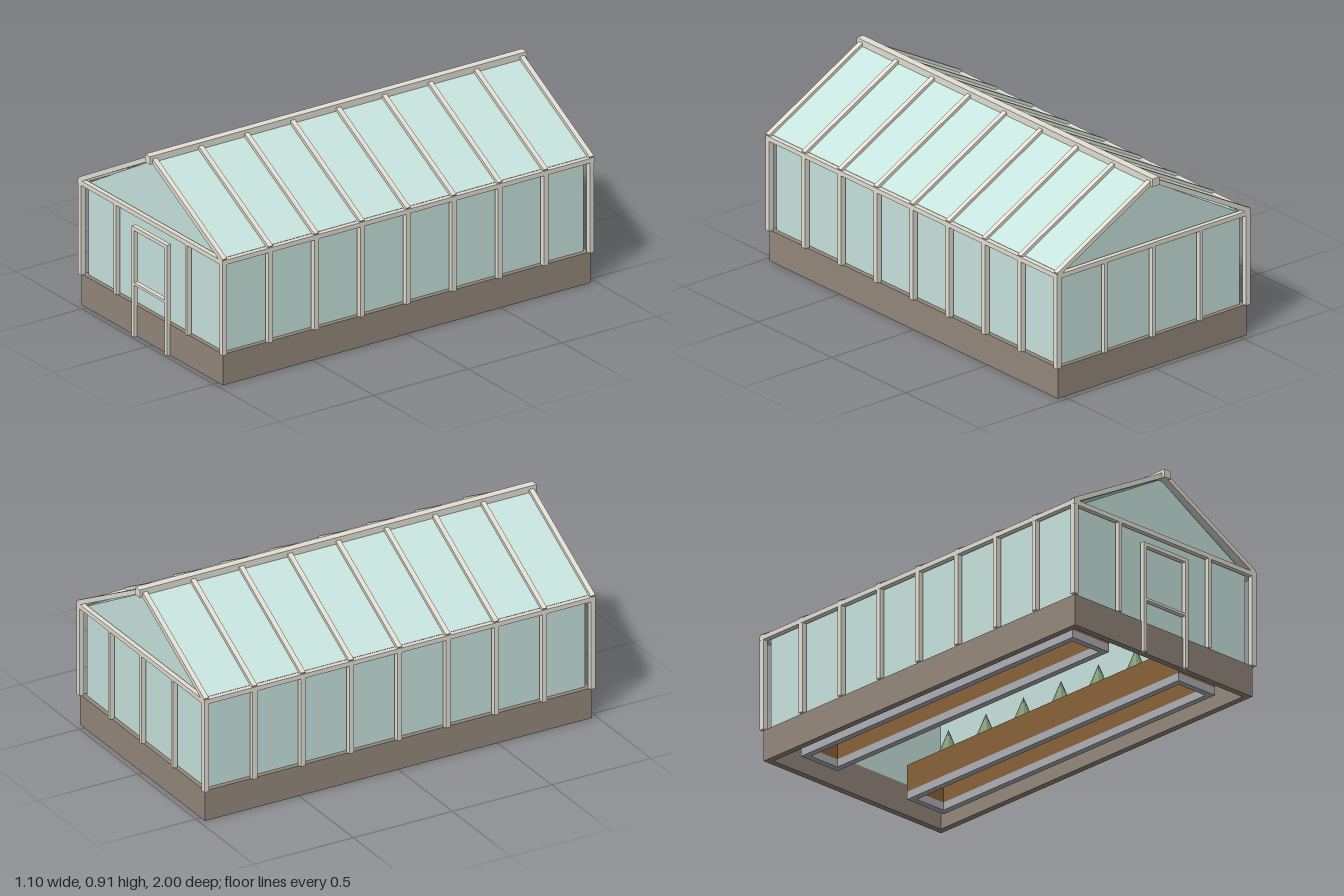
import * as THREE from 'three';

const mat = (name, color) => {
  const m = new THREE.MeshStandardMaterial({ color });
  m.name = name;
  return m;
};

export function createModel() {
  const root = new THREE.Group();
  root.name = 'greenhouse';
  const frame = mat('painted frame', 0xe4e0d4);
  const glass = mat('pale glass', 0xc8e4df);
  glass.side = THREE.DoubleSide;
  const stone = mat('base wall', 0x94887b);
  const wood = mat('planter wood', 0x8a6238);
  const soilMat = mat('soil', 0x4f3a28);
  const sillMat = mat('grey sill', 0xb0b1b7);
  const leaf = mat('leaf green', 0x7d9672);

  const group = (name, parent = root) => {
    const g = new THREE.Group();
    g.name = name;
    parent.add(g);
    return g;
  };
  // Box given by its extents on each axis
  const box = (parent, name, m, [x0, x1], [y0, y1], [z0, z1]) => {
    const mesh = new THREE.Mesh(new THREE.BoxGeometry(x1 - x0, y1 - y0, z1 - z0), m);
    mesh.position.set((x0 + x1) / 2, (y0 + y1) / 2, (z0 + z1) / 2);
    mesh.name = name;
    parent.add(mesh);
  };
  const around = (c, w) => [c - w / 2, c + w / 2];
  // Rectangular ring of four boards
  const ring = (parent, name, m, [x0, x1], y, [z0, z1], t) => {
    box(parent, name, m, [x0, x0 + t], y, [z0, z1]);
    box(parent, name, m, [x1 - t, x1], y, [z0, z1]);
    box(parent, name, m, [x0 + t, x1 - t], y, [z0, z0 + t]);
    box(parent, name, m, [x0 + t, x1 - t], y, [z1 - t, z1]);
  };

  const baseY = 0.147, eaveY = 0.575, bays = 8, pitch = 0.2435, endZ = pitch * bays / 2;
  // Glass is set back from the posts
  const glassX = 0.509, glassZ = 0.951;

  // Low wall the frame stands on
  ring(group('baseWall'), 'baseWallSide', stone, [-0.535, 0.535], [0, baseY], [-0.975, 0.975], 0.03);

  // Side posts, plates and side glass
  for (const s of [-1, 1]) {
    const side = group(s > 0 ? 'leftWall' : 'rightWall');
    for (let i = 0; i <= bays; i++) {
      box(side, 'sidePost', frame, around(s * 0.5365, 0.025), [baseY, eaveY], around((i - bays / 2) * pitch, 0.023));
    }
    box(side, 'eavePlate', frame, around(s * 0.5365, 0.026), [eaveY, 0.597], [-0.986, 0.986]);
    box(side, 'sideGlass', glass, around(s * glassX, 0.006), [baseY, 0.59], [-glassZ, glassZ]);
  }

  // End walls with gable glass; the back has an extra middle post
  for (const s of [-1, 1]) {
    const end = group(s > 0 ? 'frontWall' : 'backWall');
    const z = s * endZ;
    box(end, 'endPlate', frame, [-0.5235, 0.5235], [0.573, 0.595], around(z, 0.023));
    box(end, 'endGlass', glass, [-0.512, 0.512], [baseY, 0.583], around(s * glassZ, 0.006));
    for (const x of s > 0 ? [-0.27, 0.27] : [-0.27, 0, 0.27]) {
      box(end, 'endPost', frame, around(x, 0.017), [baseY, 0.573], around(z, 0.023));
    }
    const tri = new THREE.Shape([
      new THREE.Vector2(-0.512, 0.583), new THREE.Vector2(0.512, 0.583), new THREE.Vector2(0, 0.876),
    ]);
    const gable = new THREE.Mesh(new THREE.ExtrudeGeometry(tri, { depth: 0.006, bevelEnabled: false }), glass);
    gable.position.z = s * glassZ - 0.003;
    gable.name = 'gableGlass';
    end.add(gable);
  }

  // Roof slopes: rafters and glass laid along a tilted local x axis
  const run = 0.543, rise = 0.295, len = Math.hypot(run, rise);
  for (const s of [-1, 1]) {
    const slope = group(s > 0 ? 'leftRoof' : 'rightRoof');
    slope.position.set(s * run / 2, 0.594 + rise / 2, 0);
    slope.rotation.z = -s * Math.atan2(rise, run);
    for (let i = 0; i <= bays; i++) {
      box(slope, 'rafter', frame, around(0, len), around(0, 0.022), around((i - bays / 2) * pitch, 0.024));
    }
    box(slope, 'roofGlass', glass, around(-s * 0.008, len - 0.016), around(-0.006, 0.006), [-0.983, 0.983]);
  }
  box(root, 'ridgeBeam', frame, [-0.019, 0.019], [0.868, 0.906], [-1, 1]);

  // Door frame
  const door = group('door');
  const doorZ = [0.969, 0.991];
  for (const s of [-1, 1]) box(door, 'doorPost', frame, around(s * 0.1247, 0.0175), [0, 0.524], doorZ);
  box(door, 'doorTopRail', frame, [-0.116, 0.116], [0.506, 0.524], doorZ);
  box(door, 'doorMidRail', frame, [-0.116, 0.116], [0.247, 0.259], doorZ);

  // Planting beds on grey sills, with a row of plants in each
  for (const s of [-1, 1]) {
    const bed = group(s > 0 ? 'leftBed' : 'rightBed');
    const x = around(s * 0.32, 0.22), z = [-0.85, 0.85];
    ring(bed, 'bedSill', sillMat, x, [0.015, 0.052], z, 0.03);
    ring(bed, 'bedBoard', wood, x, [0.052, 0.18], z, 0.03);
    box(bed, 'soil', soilMat, around(s * 0.32, 0.16), [0.155, 0.17], [-0.82, 0.82]);
    for (let i = -3; i <= 3; i++) {
      const plant = new THREE.Mesh(new THREE.ConeGeometry(0.065, 0.165, 8), leaf);
      plant.position.set(s * 0.32, 0.2525, i * 0.235);
      plant.name = 'plant';
      bed.add(plant);
    }
  }
  return root;
}
